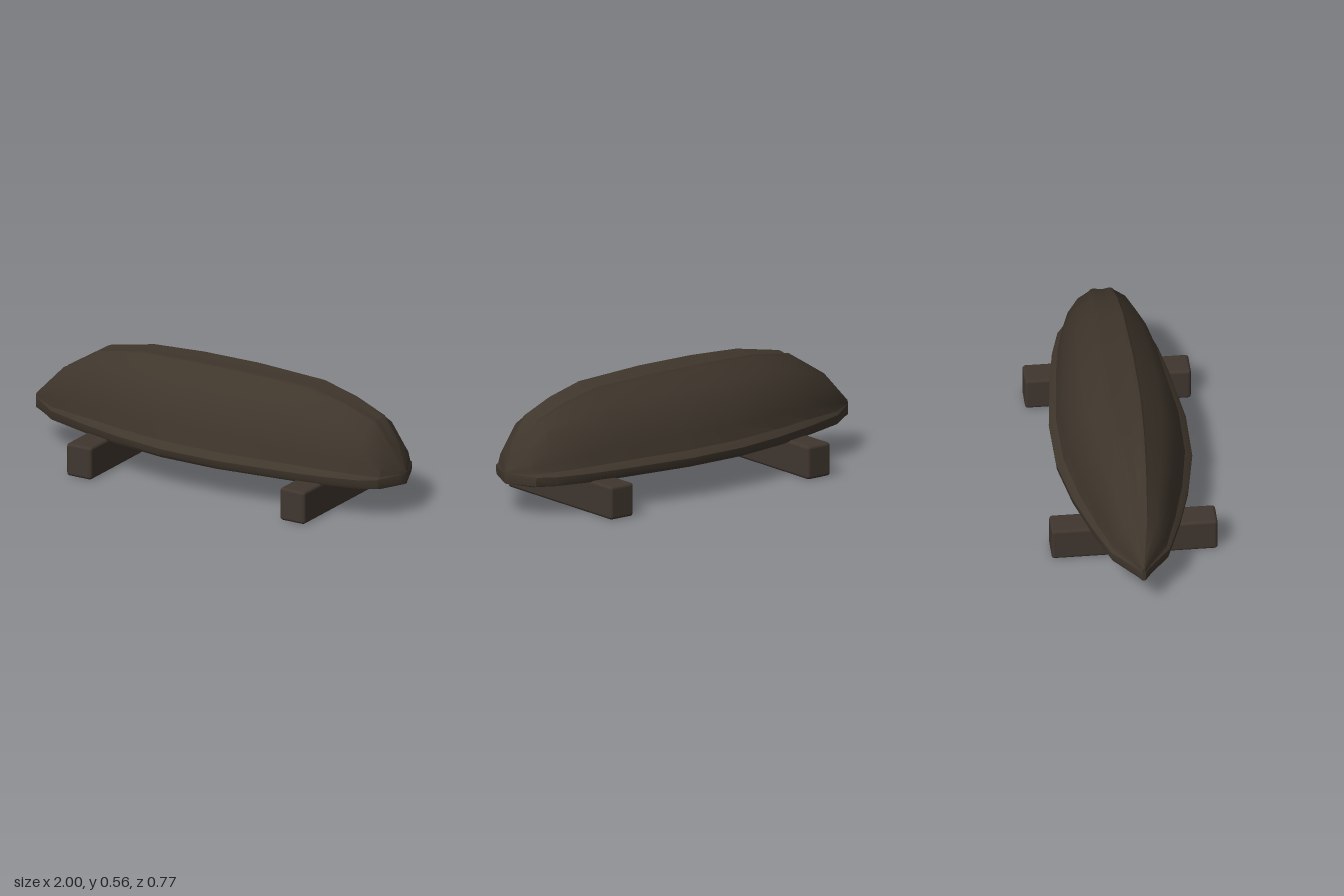
import * as THREE from 'three';
import { toCreasedNormals } from 'three/addons/utils/BufferGeometryUtils.js';
import { RoundedBoxGeometry } from 'three/addons/geometries/RoundedBoxGeometry.js';

// Half section amidships, from the underside up to the keel: [half width, height]
const HALF = [
  [0.272, 0.147], [0.302, 0.152], [0.313, 0.166], [0.317, 0.196], [0.306, 0.208], [0.283, 0.225],
  [0.265, 0.29], [0.245, 0.362], [0.172, 0.48], [0.09, 0.538], [0.075, 0.555], [0.055, 0.558],
];
const KEEL = [0, 0.547];

// Stations from bow to stern: [x, half width, top height]
const STATIONS = [
  [-1, 0.008, 0.215], [-0.97, 0.03, 0.245], [-0.84, 0.135, 0.375], [-0.63, 0.207, 0.505],
  [-0.4, 0.27, 0.547], [-0.14, 0.315, 0.557], [0.16, 0.317, 0.558], [0.52, 0.274, 0.545],
  [0.7, 0.245, 0.5], [0.855, 0.203, 0.44], [0.94, 0.15, 0.33], [0.985, 0.045, 0.225], [1, 0.008, 0.2],
];

// Loft the closed hull through scaled copies of the section
function hullGeometry() {
  const ring = [...HALF, KEEL, ...HALF.slice().reverse().map(([z, y]) => [-z, y])];
  const n = ring.length, rows = STATIONS.length;
  const pos = [], idx = [];
  for (const [x, w, h] of STATIONS) {
    const sy = (h - 0.195) / (0.558 - 0.195);
    for (const [z, y] of ring) {
      pos.push(x, y > 0.196 ? 0.195 + (y - 0.195) * sy : y, z * w / 0.317);
    }
  }
  for (let i = 0; i < rows - 1; i++) {
    for (let j = 0; j < n; j++) {
      const a = i * n + j, c = i * n + (j + 1) % n;
      idx.push(a, a + n, c, c, a + n, c + n);
    }
  }
  // Caps at the bow and stern
  const s = (rows - 1) * n;
  for (let j = 1; j < n - 1; j++) {
    idx.push(0, j, j + 1, s, s + j + 1, s + j);
  }
  const g = new THREE.BufferGeometry();
  g.setAttribute('position', new THREE.Float32BufferAttribute(pos, 3));
  g.setIndex(idx);
  return toCreasedNormals(g, 0.55);
}

export function createModel() {
  const group = new THREE.Group();
  group.name = 'upturnedBoat';
  const hullWood = new THREE.MeshStandardMaterial({ color: 0x3f362c });
  hullWood.name = 'hullWood';
  const beamWood = new THREE.MeshStandardMaterial({ color: 0x40362f });
  beamWood.name = 'beamWood';

  const hull = new THREE.Mesh(hullGeometry(), hullWood);
  hull.name = 'hull';
  group.add(hull);

  // Cross beams carrying the hull
  for (const [name, x] of [['bowBeam', -0.535], ['sternBeam', 0.62]]) {
    const beam = new THREE.Mesh(new RoundedBoxGeometry(0.135, 0.158, 0.768, 2, 0.015), beamWood);
    beam.name = name;
    beam.position.set(x, 0.079, 0);
    group.add(beam);
  }
  return group;
}
